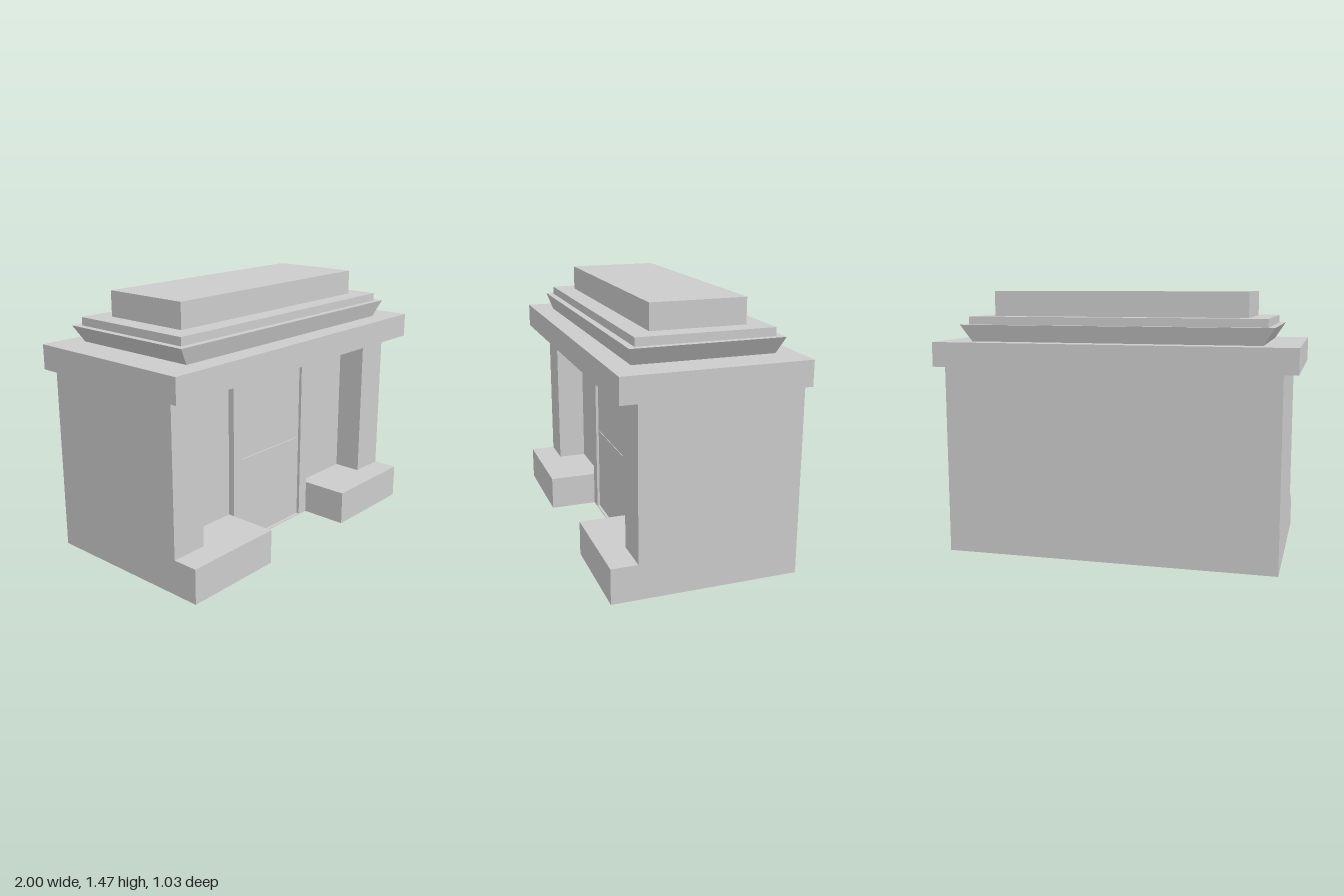
import * as THREE from 'three';

const material = new THREE.MeshStandardMaterial({ color: 0xcccccc, flatShading: true });

export function createModel() {
  const model = new THREE.Group();
  model.name = 'tombHouse';

  const add = (name, geometry) => {
    const mesh = new THREE.Mesh(geometry, material);
    mesh.name = name;
    model.add(mesh);
    return mesh;
  };

  // Box given by its limits on each axis
  const block = (name, x0, x1, y0, y1, z0, z1) => {
    const mesh = add(name, new THREE.BoxGeometry(x1 - x0, y1 - y0, z1 - z0));
    mesh.position.set((x0 + x1) / 2, (y0 + y1) / 2, (z0 + z1) / 2);
    return mesh;
  };

  const back = -0.515, wall = 0.205, eaves = 1.05, side = 0.925;

  // Main body, with its front wall set back
  block('body', -side, side, 0, eaves, back, wall);

  // Mirrored plinths and corner pillars
  for (const s of [1, -1]) {
    const pair = (name, inner, y0, y1, z1) =>
      block(name, Math.min(s * inner, s * side), Math.max(s * inner, s * side), y0, y1, wall, z1);
    const label = s > 0 ? 'left' : 'right';
    pair(label + 'Plinth', 0.335, 0, 0.195, 0.515);
    pair(label + 'Pillar', 0.715, 0.195, eaves, 0.37);
  }

  // Door frame with an opening
  const rect = (path, x, y0, y1) =>
    path.moveTo(-x, y0).lineTo(x, y0).lineTo(x, y1).lineTo(-x, y1).closePath();
  const frame = new THREE.Shape();
  rect(frame, 0.335, 0, eaves);
  const opening = new THREE.Path();
  rect(opening, 0.267, 0.005, 1.0);
  frame.holes.push(opening);
  add('doorFrame', new THREE.ExtrudeGeometry(frame, { depth: 0.037, bevelEnabled: false }))
    .position.z = wall;

  // Two door panels separated by a thin gap
  block('lowerDoorPanel', -0.264, 0.264, 0.008, 0.507, wall, 0.227);
  block('upperDoorPanel', -0.264, 0.264, 0.512, 0.998, wall, 0.227);

  // Roof slab
  block('roofSlab', -1, 1, eaves, 1.187, back, 0.485);

  // Flared cornice: a box narrowed at its base
  const cornice = block('cornice', -0.87, 0.87, 1.187, 1.28, -0.427, 0.393);
  const p = cornice.geometry.attributes.position;
  for (let i = 0; i < p.count; i++) {
    if (p.getY(i) < 0) {
      p.setX(i, Math.sign(p.getX(i)) * 0.81);
      p.setZ(i, Math.sign(p.getZ(i)) * 0.383);
    }
  }
  cornice.geometry.computeVertexNormals();

  // Stepped top
  block('roofStep', -0.833, 0.833, 1.28, 1.325, -0.388, 0.355);
  block('roofCap', -0.72, 0.72, 1.325, 1.465, -0.277, 0.243);

  return model;
}
